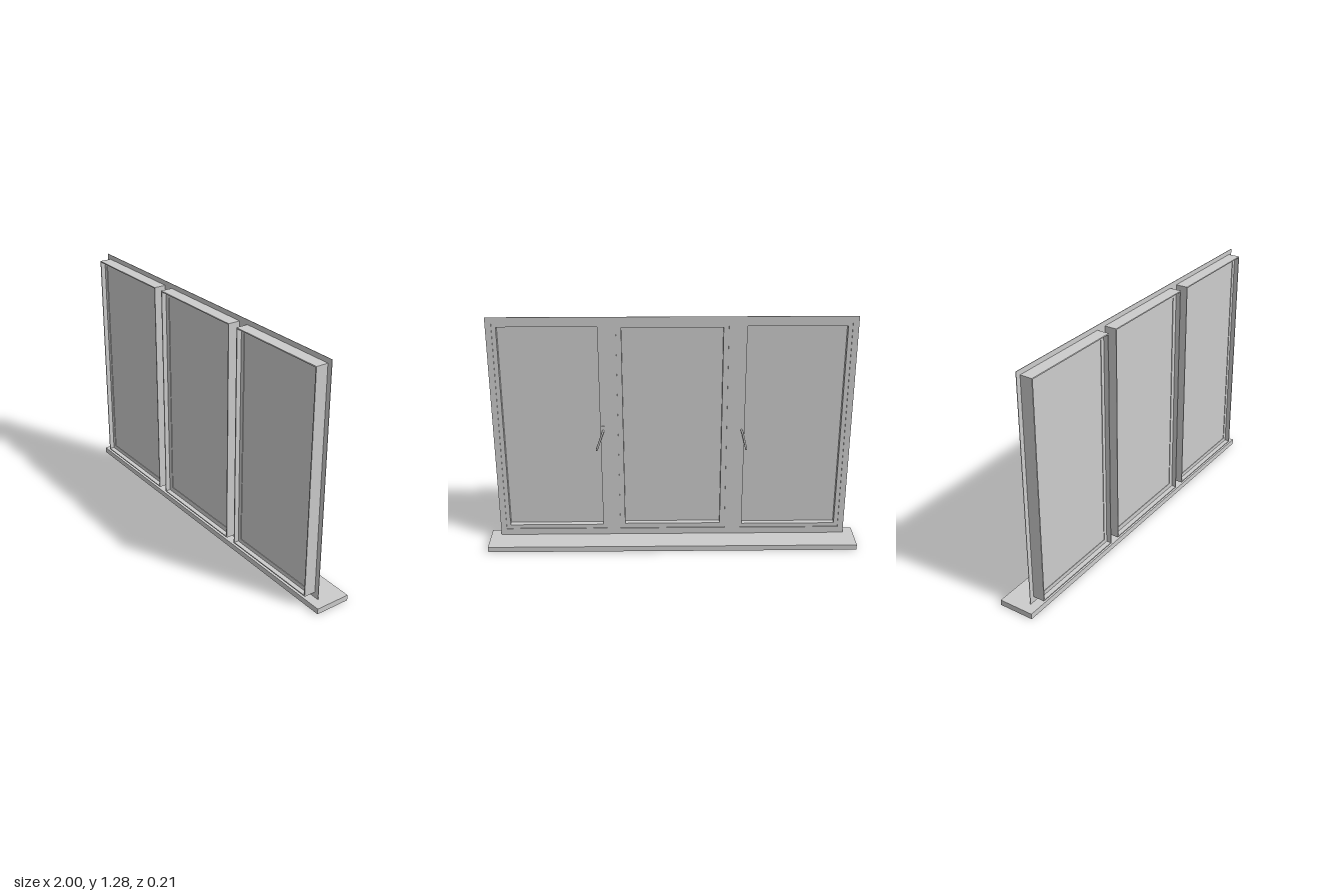
import * as THREE from 'three';

const material = new THREE.MeshStandardMaterial({ color: 0xcccccc, side: THREE.DoubleSide });

function add(parent, geometry, name) {
  const mesh = new THREE.Mesh(geometry, material);
  mesh.name = name;
  parent.add(mesh);
  return mesh;
}

// Rectangles are [x0, y0, x1, y1]
const inset = ([a, b, c, d], t) => [a + t, b + t, c - t, d - t];

function trace(path, [a, b, c, d]) {
  path.moveTo(a, b);
  path.lineTo(c, b);
  path.lineTo(c, d);
  path.lineTo(a, d);
  path.closePath();
  return path;
}

// Flat slab with rectangular openings, from z0 to z1
function slab(outer, holes, z0, z1) {
  const shape = trace(new THREE.Shape(), outer);
  holes.forEach((h) => shape.holes.push(trace(new THREE.Path(), h)));
  const g = new THREE.ExtrudeGeometry(shape, { depth: z1 - z0, bevelEnabled: false });
  return g.translate(0, 0, z0);
}

// Lever handle on the back face; side is the direction the grip leans
function makeHandle(name, side, lean) {
  const handle = new THREE.Group();
  handle.name = name;
  const base = add(handle, new THREE.BoxGeometry(0.018, 0.05, 0.006), 'handlePlate');
  base.position.set(0, 0.655, 0.041);
  const path = new THREE.CurvePath();
  const p = (x, y, z) => new THREE.Vector3(side * x, y, z);
  path.add(new THREE.LineCurve3(p(0, 0.655, 0.042), p(0, 0.655, 0.028)));
  path.add(new THREE.QuadraticBezierCurve3(p(0, 0.655, 0.028), p(0, 0.655, 0.021), p(0.004, 0.645, 0.021)));
  path.add(new THREE.LineCurve3(p(0.004, 0.645, 0.021), p(lean, 0.552, 0.021)));
  add(handle, new THREE.TubeGeometry(path, 32, 0.0055, 10, false), 'lever');
  const tip = add(handle, new THREE.SphereGeometry(0.0055, 10, 8), 'leverTip');
  tip.position.copy(p(lean, 0.552, 0.021));
  handle.position.x = side * 0.366;
  return handle;
}

export function createModel() {
  const model = new THREE.Group();
  model.name = 'window';

  // Sill board
  const sill = add(model, new THREE.BoxGeometry(2, 0.03, 0.19), 'sill');
  sill.position.set(0, 0.015, -0.005);

  // Three panes: x range and width of the sash profile
  const panes = [
    { name: 'rightSash', x0: -0.92, x1: -0.353, rim: 0.028 },
    { name: 'middleSash', x0: -0.293, x1: 0.293, rim: 0.033 },
    { name: 'leftSash', x0: 0.353, x1: 0.92, rim: 0.028 },
  ].map((s) => ({ ...s, outer: [s.x0, 0.06, s.x1, 1.255] }));

  // Thin mounting frame with an opening per sash
  add(model, slab([-0.945, 0.012, 0.945, 1.28], panes.map((s) => s.outer), 0.038, 0.041), 'frame');

  for (const { name, outer, rim } of panes) {
    const sash = new THREE.Group();
    sash.name = name;
    model.add(sash);
    const inner = inset(outer, 0.006);
    const opening = inset(outer, rim);
    // Deep casing, sash profile and glazing
    add(sash, slab(outer, [inner], 0.038, 0.105), 'casing');
    add(sash, slab(inner, [opening], 0.043, 0.08), 'sashProfile');
    add(sash, slab(opening, [], 0.073, 0.077), 'pane');
  }

  model.add(makeHandle('leftHandle', 1, 0.036));
  model.add(makeHandle('rightHandle', -1, 0.026));
  return model;
}
